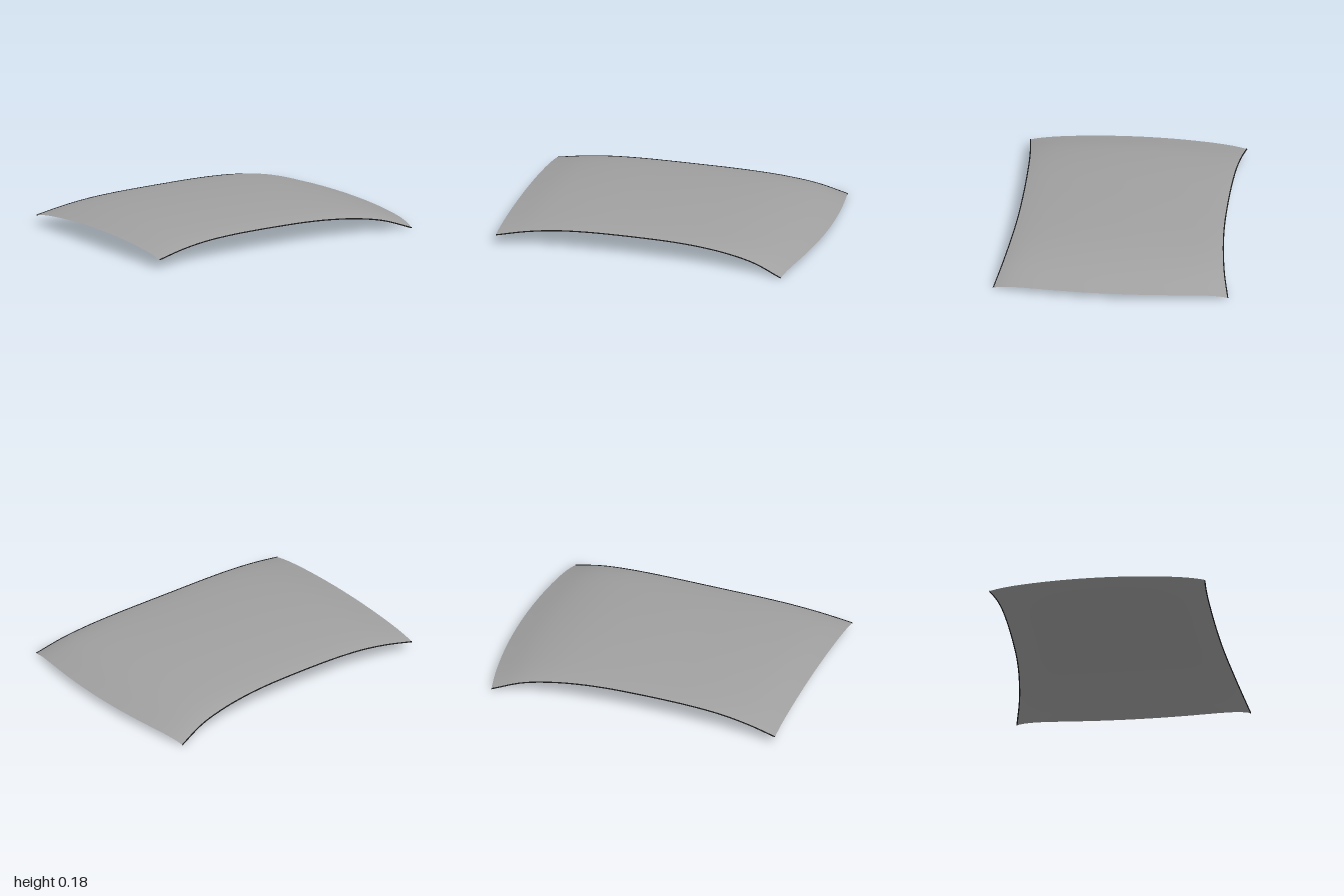
import * as THREE from 'three';

// Lengthwise stations: [crown x, crown y, side edge x, side edge y, half width]
const stations = [
  [-1.0, 0.115, -1.0, 0.059, 0.695],
  [-0.8, 0.153, -0.81, 0.096, 0.677],
  [-0.6, 0.17, -0.62, 0.12, 0.665],
  [-0.4, 0.178, -0.42, 0.131, 0.659],
  [-0.2, 0.18, -0.23, 0.134, 0.657],
  [0.0, 0.18, -0.04, 0.134, 0.658],
  [0.2, 0.176, 0.15, 0.132, 0.662],
  [0.4, 0.167, 0.34, 0.124, 0.672],
  [0.6, 0.147, 0.54, 0.105, 0.69],
  [0.8, 0.107, 0.73, 0.07, 0.715],
  [1.0, 0.04, 0.92, 0.004, 0.754],
];
const crown = new THREE.CatmullRomCurve3(stations.map(([x, y]) => new THREE.Vector3(x, y, 0)));
const edge = new THREE.CatmullRomCurve3(stations.map(([, , x, y, z]) => new THREE.Vector3(x, y, z)));

// Point on the skin: t runs along x (0..1), s across z (-1..1)
function skinPoint(t, s) {
  const c = crown.getPoint(t), e = edge.getPoint(t), a = Math.abs(s);
  const k = 0.22 + 0.48 * THREE.MathUtils.smoothstep(t, 0.6, 1); // fuller shoulders near +x
  const drop = (1 - k) * a * a + k * a ** 9;
  return new THREE.Vector3(
    THREE.MathUtils.lerp(c.x, e.x, s * s),
    THREE.MathUtils.lerp(c.y, e.y, drop),
    s * e.z
  );
}

// Bend a flat grid into the crowned skin
function skinGeometry() {
  const geo = new THREE.PlaneGeometry(1, 2, 50, 64).rotateX(-Math.PI / 2);
  const pos = geo.attributes.position;
  for (let i = 0; i < pos.count; i++) {
    const p = skinPoint(THREE.MathUtils.clamp(pos.getX(i) + 0.5, 0, 1), pos.getZ(i));
    pos.setXYZ(i, p.x, p.y, p.z);
  }
  geo.computeVertexNormals();
  return geo;
}

export function createModel() {
  const group = new THREE.Group();
  group.name = 'curvedRoofPanel';

  const skin = new THREE.Mesh(
    skinGeometry(),
    new THREE.MeshStandardMaterial({ color: 0xa0a0a0, side: THREE.DoubleSide })
  );
  skin.name = 'roofSkin';
  group.add(skin);

  // Thin dark rolled edging along both side edges
  const edgingGeometry = new THREE.TubeGeometry(edge, 50, 0.004, 8);
  const edgingMaterial = new THREE.MeshStandardMaterial({ color: 0x1c1c1c });
  for (const side of [1, -1]) {
    const edging = new THREE.Mesh(edgingGeometry, edgingMaterial);
    edging.scale.z = side;
    edging.name = side > 0 ? 'frontEdging' : 'backEdging';
    group.add(edging);
  }
  return group;
}
